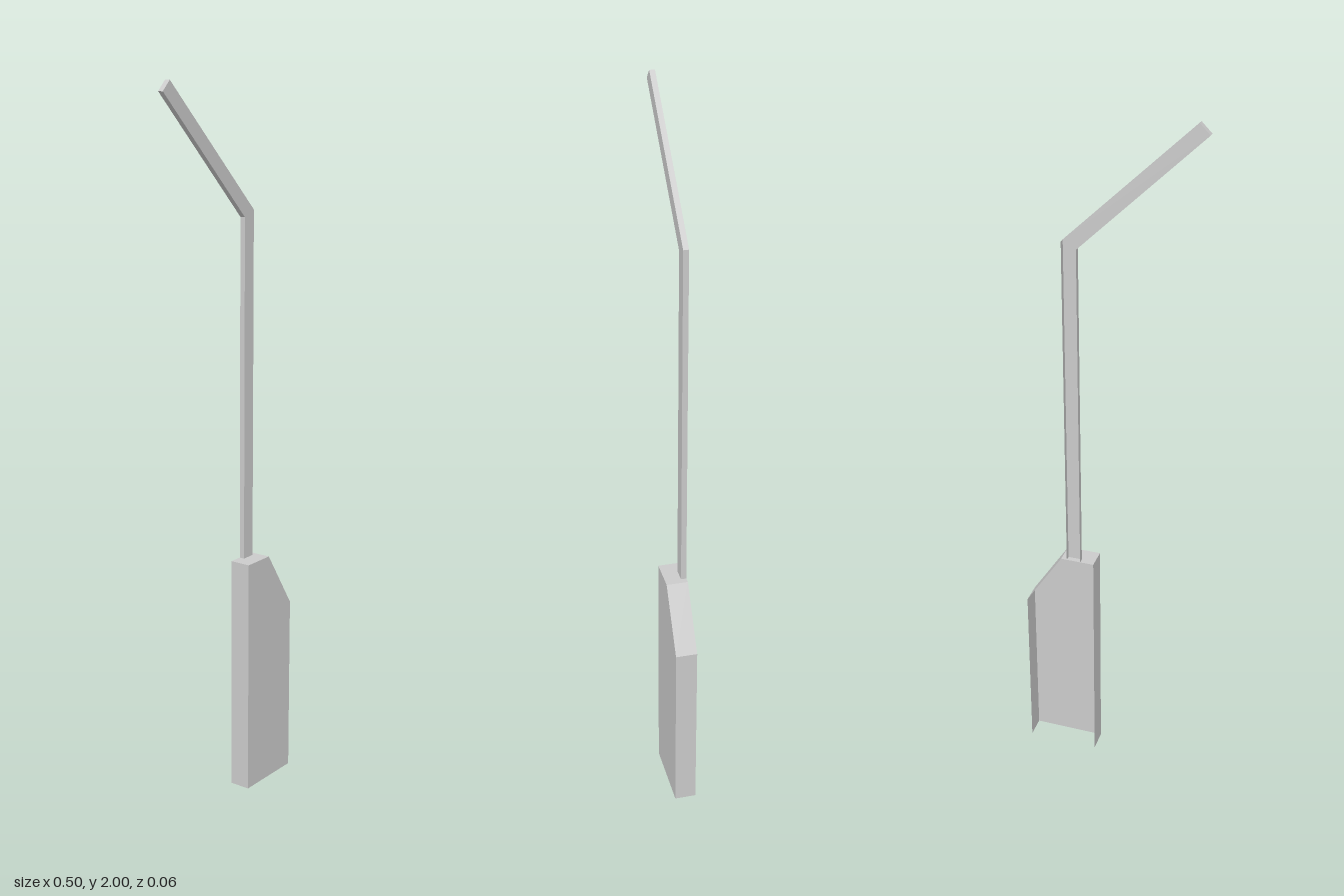
import * as THREE from 'three';

const material = new THREE.MeshStandardMaterial({
  color: 0xcccccc, flatShading: true, side: THREE.DoubleSide,
});

// Thin sheet shell: a flat front panel with walls folded back along the outline.
// The outline runs counter-clockwise; its closing edge (last to first) stays open.
function foldedSheet(name, outline, zFront, zBack) {
  const group = new THREE.Group();
  group.name = name;

  const shape = new THREE.Shape(outline.map(([x, y]) => new THREE.Vector2(x, y)));
  const panel = new THREE.Mesh(new THREE.ShapeGeometry(shape), material);
  panel.name = name + 'FrontPanel';
  panel.position.z = zFront;
  group.add(panel);

  const positions = [];
  for (let i = 0; i < outline.length - 1; i++) {
    const [ax, ay] = outline[i];
    const [bx, by] = outline[i + 1];
    positions.push(
      ax, ay, zFront, ax, ay, zBack, bx, by, zBack,
      ax, ay, zFront, bx, by, zBack, bx, by, zFront,
    );
  }
  const geometry = new THREE.BufferGeometry();
  geometry.setAttribute('position', new THREE.Float32BufferAttribute(positions, 3));
  geometry.computeVertexNormals();
  const walls = new THREE.Mesh(geometry, material);
  walls.name = name + 'Walls';
  group.add(walls);
  return group;
}

export function createModel() {
  const model = new THREE.Group();
  model.name = 'bentPoleWithHousing';

  // Housing: sloped shoulder, open at the back and bottom
  model.add(foldedSheet('housing', [
    [0.25, 0], [0.25, 0.515], [0.143, 0.683], [0.047, 0.683], [0.047, 0],
  ], 0.03, -0.03));

  // Pole and bent arm: one mitred channel, open at the back, capped at the tip
  model.add(foldedSheet('poleAndArm', [
    [0.126, 0.683], [0.126, 1.656], [-0.223, 2], [-0.25, 1.973], [0.086, 1.639], [0.086, 0.683],
  ], -0.015, -0.03));

  return model;
}
